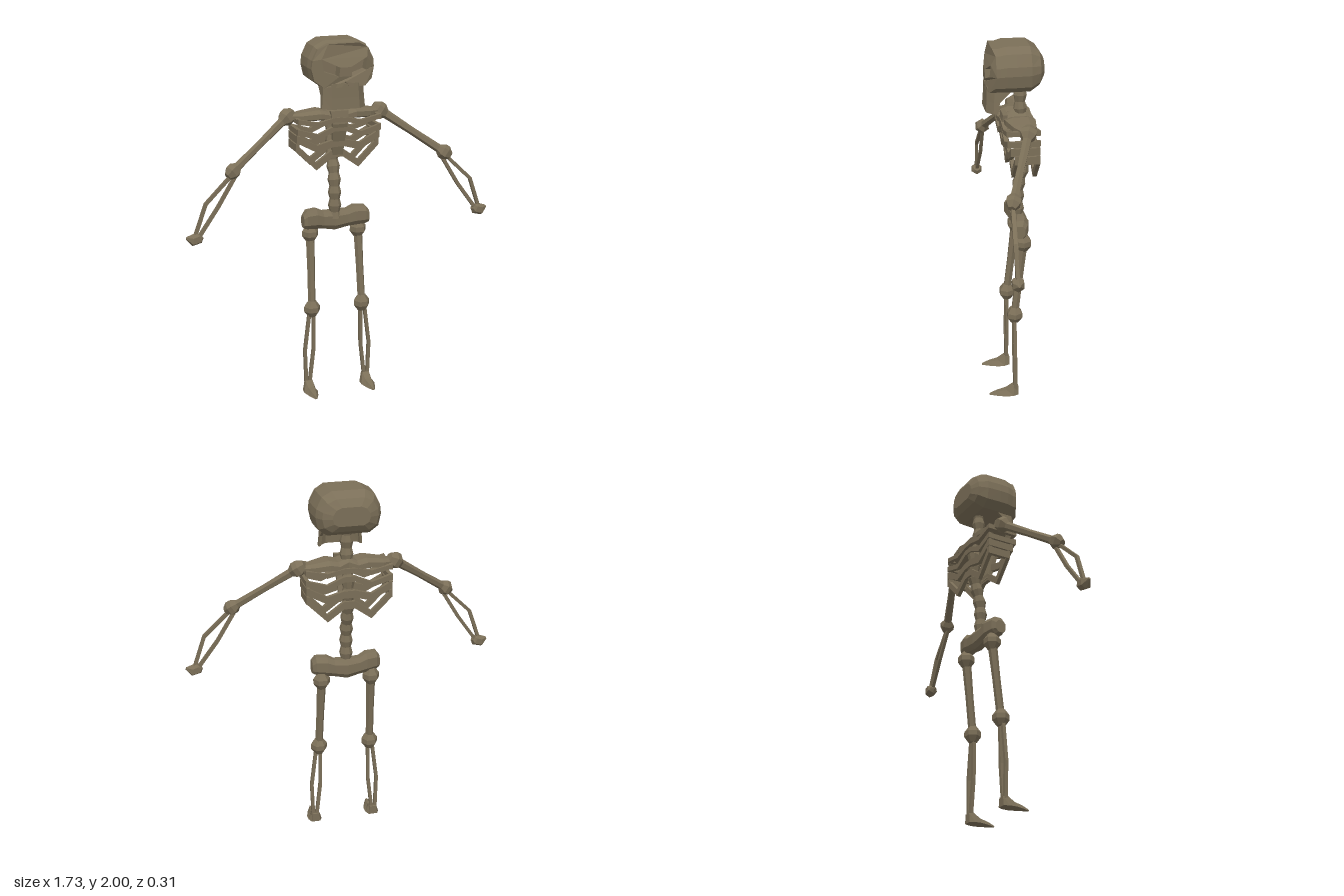
import * as THREE from 'three';

const bone = new THREE.MeshStandardMaterial({ color: 0x7b6f58, flatShading: true, side: THREE.DoubleSide });
const V = (x, y, z) => new THREE.Vector3(x, y, z);

function mesh(name, geometry, parent) {
  const m = new THREE.Mesh(geometry, bone);
  m.name = name;
  parent.add(m);
  return m;
}

// Skin a list of equal-length closed rings and cap both ends; triangles are turned to face outward.
function loft(rings) {
  const n = rings[0].length, tris = [];
  for (let i = 0; i < rings.length - 1; i++) {
    for (let j = 0; j < n; j++) {
      const k = (j + 1) % n;
      const a = rings[i][j], b = rings[i][k], c = rings[i + 1][k], d = rings[i + 1][j];
      tris.push([a, b, c], [a, c, d]);
    }
  }
  for (const [ring, flip] of [[rings[0], true], [rings[rings.length - 1], false]]) {
    // project the cap on its main plane so that concave outlines work too
    const normal = V(0, 0, 0);
    ring.forEach((p, i) => normal.add(p.clone().cross(ring[(i + 1) % n])));
    const [ax, ay, az] = normal.toArray().map(Math.abs);
    const flat = ring.map(p => ax > ay && ax > az ? new THREE.Vector2(p.y, p.z)
      : ay > az ? new THREE.Vector2(p.z, p.x) : new THREE.Vector2(p.x, p.y));
    const sign = THREE.ShapeUtils.isClockWise(flat);
    for (const f of THREE.ShapeUtils.triangulateShape(flat, [])) {
      const t = f.map(i => ring[i]);
      const area = THREE.ShapeUtils.area(f.map(i => flat[i]));
      if ((area < 0) !== sign) t.reverse();
      if (flip) t.reverse();
      tris.push(t);
    }
  }
  const volume = tris.reduce((s, [a, b, c]) => s + a.dot(b.clone().cross(c)), 0);
  if (volume < 0) tris.forEach(t => t.reverse());
  const g = new THREE.BufferGeometry().setFromPoints(tris.flat());
  g.computeVertexNormals();
  return g;
}

// Faceted rod through points, with one radius per point.
function rod(points, radii, sides = 6) {
  return loft(points.map((p, i) => {
    const t = points[Math.min(i + 1, points.length - 1)].clone().sub(points[Math.max(i - 1, 0)]).normalize();
    const u = V(0, 0, 1).addScaledVector(t, -t.z).normalize(), w = t.clone().cross(u);
    return Array.from({ length: sides }, (_, j) => {
      const a = (j + 0.5) / sides * Math.PI * 2;
      return p.clone().addScaledVector(u, Math.cos(a) * radii[i]).addScaledVector(w, Math.sin(a) * radii[i]);
    });
  }));
}

// Diamond-shaped joint along a direction.
function joint(center, dir, r) {
  const d = dir.clone().normalize();
  return rod([-1, -0.3, 0.3, 1].map(k => center.clone().addScaledVector(d, k * r)), [r * 0.5, r, r, r * 0.5]);
}

// Eight-cornered slab section at a given x, used for the yoke and pelvis.
function slab(x, y0, y1, z0, z1) {
  const b = 0.25, Y = k => y0 + (y1 - y0) * k, Z = k => z0 + (z1 - z0) * k;
  return [[b, 0], [1 - b, 0], [1, b], [1, 1 - b], [1 - b, 1], [b, 1], [0, 1 - b], [0, b]]
    .map(([p, q]) => V(x, Y(p), Z(q)));
}

const mirrored = list => [...list.slice(1).reverse().map(r => [-r[0], ...r.slice(1)]), ...list];

function skull(parent) {
  const half = [[0.5, 1], [0.8, 0.88], [0.97, 0.62], [1, 0.42], [0.92, 0.15], [0.65, 0]];
  const outline = [...half, ...half.map(([x, y]) => [-x, y]).reverse()];
  const ring = (z, w, y0, y1) => outline.map(([x, y]) => V(x * w, y0 + y * (y1 - y0), z));
  mesh('cranium', loft([
    ring(-0.155, 0.1, 1.83, 1.93), ring(-0.13, 0.15, 1.795, 1.97), ring(-0.08, 0.175, 1.765, 2),
    ring(0, 0.18, 1.765, 2), ring(0.05, 0.18, 1.765, 2), ring(0.085, 0.173, 1.765, 1.99),
  ]), parent);

  // face plate with slanted eye sockets and a nose notch
  const pts = ring(0, 0.173, 1.765, 1.99).map(p => new THREE.Vector2(p.x, p.y));
  pts.splice(6, 0, new THREE.Vector2(0.022, 1.765), new THREE.Vector2(0, 1.795), new THREE.Vector2(-0.022, 1.765));
  const face = new THREE.Shape(pts);
  for (const s of [1, -1]) {
    face.holes.push(new THREE.Path([[0.125, 1.915], [0.03, 1.87], [0.036, 1.822], [0.115, 1.85]]
      .map(([x, y]) => new THREE.Vector2(s * x, y))));
  }
  const g = new THREE.ExtrudeGeometry(face, { depth: 0.065, bevelEnabled: false });
  const p = g.attributes.position;
  for (let i = 0; i < p.count; i++) {
    const front = p.getZ(i) > 0.03;
    const z = 0.148 - 0.55 * Math.max(0, Math.abs(p.getX(i)) - 0.09) - 0.5 * Math.max(0, p.getY(i) - 1.93);
    p.setZ(i, front ? z : 0.085);
  }
  g.computeVertexNormals();
  mesh('face', g, parent);

  // jaw: a U-shaped band that runs back under the cheeks
  const jaw = (y, w, back, front) => {
    const t = 0.014, m = Math.max(back + 0.01, front - 0.035);
    return [[w, back], [w, m], [w * 0.65, front], [-w * 0.65, front], [-w, m], [-w, back],
      [-w + t, back], [-w + t, m - t / 2], [-w * 0.6, front - t], [w * 0.6, front - t], [w - t, m - t / 2], [w - t, back]]
      .map(([x, z]) => V(x, y, z));
  };
  mesh('jaw', loft([jaw(1.65, 0.12, 0.09, 0.15), jaw(1.71, 0.115, 0.08, 0.146), jaw(1.785, 0.11, 0, 0.143)]), parent);
}

function torso(parent) {
  // neck and beaded spine
  const line = new THREE.CatmullRomCurve3([V(0, 1.79, -0.045), V(0, 1.62, -0.045), V(0, 1.5, -0.075),
    V(0, 1.36, -0.07), V(0, 1.2, -0.035), V(0, 1.0, -0.03)]);
  const count = 23;
  const along = Array.from({ length: count }, (_, i) => line.getPointAt(i / (count - 1)));
  mesh('spine', rod(along, along.map((_, i) => i % 2 ? 0.028 : 0.037), 8), parent);

  mesh('shoulderYoke', loft(mirrored([[0, 1.57, 1.63, -0.1, 0.04], [0.05, 1.56, 1.61, -0.11, 0.05],
    [0.1, 1.565, 1.622, -0.11, 0.05], [0.19, 1.56, 1.61, -0.1, 0.02], [0.25, 1.565, 1.6, -0.075, -0.015]])
    .map(r => slab(...r))), parent);

  const breast = (y, w, z) => [V(-w, y, z), V(w, y, z), V(w, y, z - 0.025), V(-w, y, z - 0.025)];
  mesh('sternum', loft([breast(1.37, 0.03, 0.02), breast(1.45, 0.034, 0.04), breast(1.55, 0.042, 0.065),
    breast(1.62, 0.05, 0.055)]), parent);

  // ribs: chevrons in front and back joined by side bars [centre, low point, outer end, height, front z]
  const ribs = [[1.585, 1.565, 1.59, 0.025, 0.065], [1.54, 1.5, 1.535, 0.03, 0.06],
    [1.46, 1.435, 1.497, 0.04, 0.04], [1.4, 1.335, 1.45, 0.042, 0.02]];
  ribs.forEach(([c, low, out, h, front], i) => {
    const rib = new THREE.Group();
    rib.name = 'rib' + (i + 1);
    parent.add(rib);
    const top = [[-0.235, out], [-0.12, low], [-0.03, c], [0.03, c], [0.12, low], [0.235, out]];
    const shape = new THREE.Shape([...top, ...top.map(([x, y]) => [x, y - h]).reverse()]
      .map(q => new THREE.Vector2(...q)));
    const g = new THREE.ExtrudeGeometry(shape, { depth: 0.022, bevelEnabled: false });
    mesh('ribFront', g, rib).position.z = front - 0.022;
    mesh('ribBack', g, rib).position.z = -0.115;
    for (const s of [1, -1]) {
      mesh('ribSide', new THREE.BoxGeometry(0.02, h, front + 0.115), rib)
        .position.set(s * 0.225, out - h / 2 - 0.004, (front - 0.115) / 2);
    }
  });

  mesh('pelvis', loft(mirrored([[0, 0.93, 1.04, -0.08, -0.005], [0.07, 0.945, 1.042, -0.075, 0],
    [0.11, 0.95, 1.062, -0.075, 0.01], [0.17, 0.957, 1.06, -0.06, 0.02], [0.19, 0.965, 1.035, -0.045, 0.015]])
    .map(r => slab(...r))), parent);
}

function arm(s, parent) {
  const P = (x, y, z) => V(s * x, y, z);
  const shoulder = P(0.265, 1.585, -0.045), elbow = P(0.6, 1.35, 0.085), hand = P(0.82, 1.007, 0.095);
  const upper = elbow.clone().sub(shoulder), lower = hand.clone().sub(elbow);
  mesh('shoulderJoint', joint(shoulder, upper, 0.046), parent);
  mesh('upperArm', rod([shoulder, shoulder.clone().lerp(elbow, 0.5), elbow], [0.026, 0.021, 0.024]), parent);
  mesh('elbowJoint', joint(elbow, upper, 0.042), parent);
  mesh('outerForearm', rod([P(0.61, 1.33, 0.09), P(0.755, 1.19, 0.1), P(0.815, 1.02, 0.095)], [0.013, 0.013, 0.013], 4), parent);
  mesh('innerForearm', rod([P(0.59, 1.32, 0.085), P(0.685, 1.165, 0.085), P(0.79, 1.02, 0.095)], [0.013, 0.013, 0.013], 4), parent);
  mesh('hand', rod([P(0.785, 1.02, 0.095), P(0.795, 1.01, 0.095), P(0.83, 1.0, 0.095), P(0.862, 1.015, 0.095)],
    [0.02, 0.033, 0.033, 0.008]), parent);
}

function leg(s, parent) {
  const P = (x, y, z) => V(s * x, y, z);
  const hip = P(0.14, 0.92, -0.04), knee = P(0.148, 0.49, 0.008), down = V(0, -1, 0);
  mesh('hipJoint', joint(hip, down, 0.047), parent);
  mesh('thigh', rod([hip, hip.clone().lerp(knee, 0.5), knee], [0.026, 0.022, 0.022]), parent);
  mesh('kneeJoint', joint(knee, down, 0.046), parent);
  mesh('outerShin', rod([P(0.165, 0.46, 0.01), P(0.192, 0.24, 0.01), P(0.185, 0.03, 0.008)], [0.013, 0.013, 0.013], 4), parent);
  mesh('innerShin', rod([P(0.14, 0.46, 0.01), P(0.142, 0.24, 0.01), P(0.166, 0.03, 0.008)], [0.013, 0.013, 0.013], 4), parent);
  // foot: wedge from heel to pointed toe [z, top half width, bottom half width, height]
  mesh('foot', loft([[-0.008, 0.018, 0.025, 0.05], [0.02, 0.02, 0.038, 0.055], [0.06, 0.018, 0.04, 0.03],
    [0.11, 0.012, 0.025, 0.021], [0.155, 0.002, 0.005, 0.008]]
    .map(([z, a, b, h]) => [V(-b, 0, z), V(b, 0, z), V(a, h, z), V(-a, h, z)])), parent).position.x = s * 0.172;
}

export function createModel() {
  const model = new THREE.Group();
  const part = (name, build, ...args) => {
    const g = new THREE.Group();
    g.name = name;
    build(...args, g);
    model.add(g);
  };
  part('skull', skull);
  part('torso', torso);
  for (const [side, s] of [['left', 1], ['right', -1]]) {
    part(side + 'Arm', arm, s);
    part(side + 'Leg', leg, s);
  }
  return model;
}
